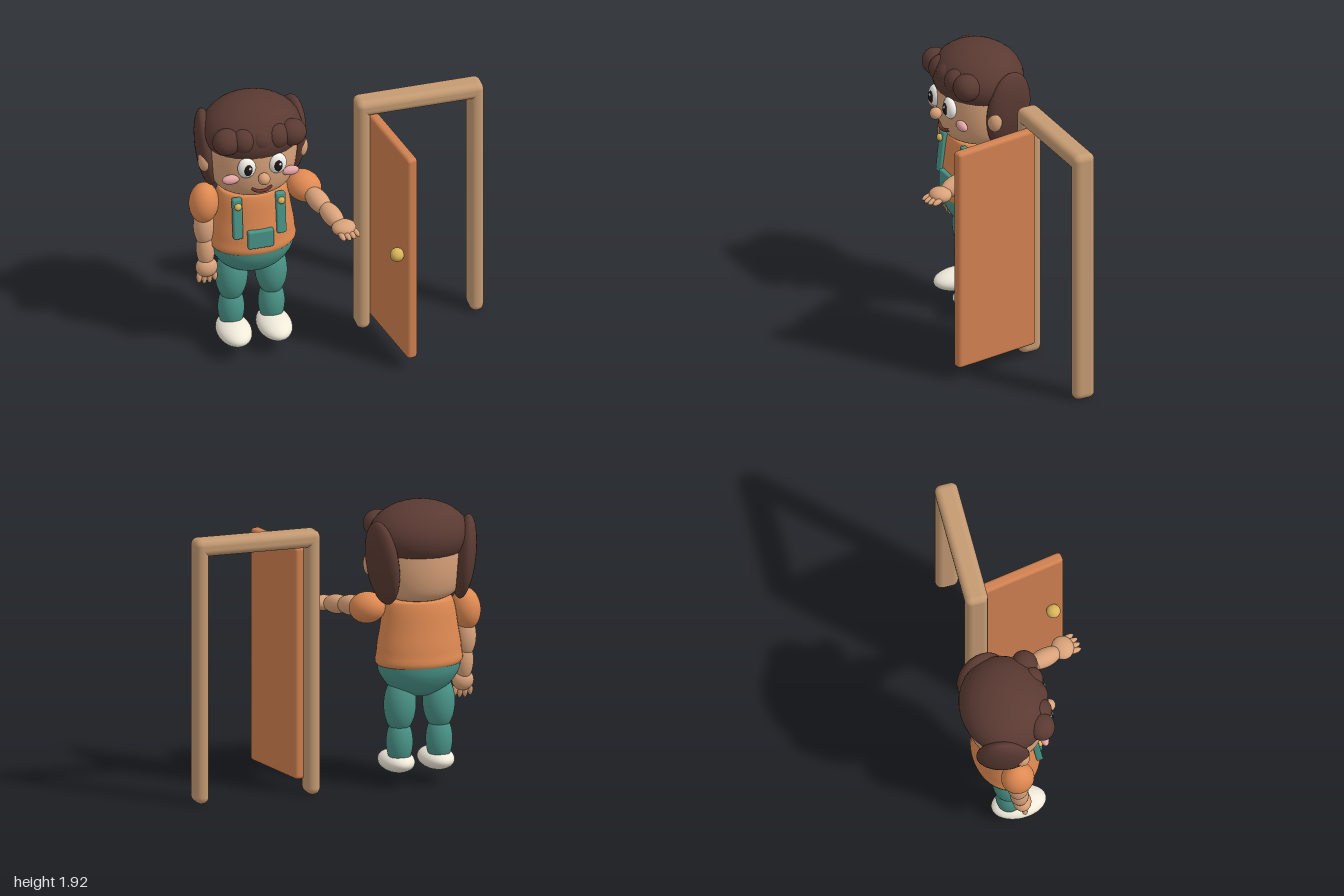
import * as THREE from 'three';
import { RoundedBoxGeometry } from 'three/addons/geometries/RoundedBoxGeometry.js';

const mat = (color) => new THREE.MeshStandardMaterial({ color });
const skin = mat(0xd9a27a), orange = mat(0xe08a52), teal = mat(0x4a9488), hair = mat(0x5a3a32),
  cream = mat(0xf0eada), wood = mat(0xc49a72), panel = mat(0xd08050), gold = mat(0xd9b45a),
  pink = mat(0xe5a5a5), white = mat(0xf4f1ea), black = mat(0x1c1716), lip = mat(0x6a352a);
const V = (x, y, z) => new THREE.Vector3(x, y, z);

function add(parent, name, geometry, material, x = 0, y = 0, z = 0) {
  const m = new THREE.Mesh(geometry, material);
  m.name = name;
  m.position.set(x, y, z);
  parent.add(m);
  return m;
}

function ball(parent, name, material, p, r) {
  const m = add(parent, name, new THREE.SphereGeometry(1, 32, 24), material, ...p);
  m.scale.set(...r);
  return m;
}

// Ellipsoid stretched from point a to point b
function limb(parent, name, material, a, b, r, rz = r) {
  const dir = b.clone().sub(a);
  const m = ball(parent, name, material, a.clone().add(b).multiplyScalar(0.5), [r, dir.length() / 2, rz]);
  m.quaternion.setFromUnitVectors(V(0, 1, 0), dir.normalize());
  return m;
}

// Smooth oval body of revolution, squashed in depth
function oval(parent, name, material, points, depth, z) {
  const curve = new THREE.SplineCurve(points.map(([x, y]) => new THREE.Vector2(x, y)));
  const profile = curve.getPoints(32).map((p) => new THREE.Vector2(Math.max(p.x, 0), p.y));
  const m = add(parent, name, new THREE.LatheGeometry(profile, 48), material, 0, 0, z);
  m.scale.z = depth;
  return m;
}

function box(parent, name, material, size, p, r) {
  return add(parent, name, new RoundedBoxGeometry(...size, 4, r), material, ...p);
}

function buildHead(g) {
  oval(g, 'head', skin, [[0, 1.255], [0.14, 1.263], [0.24, 1.305], [0.285, 1.4], [0.302, 1.55],
    [0.285, 1.7], [0.18, 1.84], [0, 1.88]], 0.88, -0.17);
  ball(g, 'nose', skin, [0, 1.48, 0.13], [0.041, 0.041, 0.041]);
  const smile = new THREE.CatmullRomCurve3([V(-0.068, 1.375, 0.065), V(-0.035, 1.36, 0.08),
    V(0, 1.357, 0.085), V(0.035, 1.36, 0.08), V(0.068, 1.375, 0.065)]);
  add(g, 'mouth', new THREE.TubeGeometry(smile, 24, 0.011, 10), lip);
  for (const s of [-1, 1]) {
    ball(g, 'eyeWhite', white, [s * 0.105, 1.555, 0.08], [0.062, 0.076, 0.04]);
    ball(g, 'pupil', black, [s * 0.103, 1.553, 0.112], [0.028, 0.042, 0.017]);
    ball(g, 'eyeGlint', white, [s * 0.103 + 0.008, 1.573, 0.127], [0.009, 0.011, 0.005]);
    ball(g, 'cheek', pink, [s * 0.203, 1.455, 0.042], [0.06, 0.033, 0.03]);
    ball(g, 'ear', skin, [s * 0.325, 1.51, -0.14], [0.05, 0.08, 0.05]);
    // Side hair leans inward toward the bottom and the back
    const lock = ball(g, 'sideHair', hair, [s * 0.285, 1.54, -0.26], [0.075, 0.285, 0.175]);
    lock.rotation.set(0, s * 0.22, s * 0.0 - s * 0.12);
  }
  ball(g, 'hairCap', hair, [0, 1.7, -0.18], [0.335, 0.225, 0.295]);
  // Fringe of round curls across the forehead
  for (let i = -2; i <= 2; i++) {
    const r = Math.abs(i) === 2 ? 0.095 : 0.088;
    ball(g, 'fringeCurl', hair, [i * 0.112, 1.74, 0.03 - 0.003 * i * i], [r, 0.092, 0.088]);
  }
}

function buildBody(g) {
  oval(g, 'shirt', orange, [[0, 1.275], [0.19, 1.27], [0.236, 1.235], [0.265, 1.07], [0.287, 0.92],
    [0.27, 0.82], [0, 0.8]].reverse(), 0.76, -0.17);
  oval(g, 'trousers', teal, [[0, 0.595], [0.1, 0.617], [0.2, 0.675], [0.265, 0.76], [0.284, 0.84],
    [0.28, 0.895], [0.22, 0.905], [0, 0.905]], 0.77, -0.17);
  box(g, 'pocket', teal, [0.175, 0.135, 0.045], [0, 0.955, 0.042], 0.012);
  for (const s of [-1, 1]) {
    const strap = box(g, 'strap', teal, [0.065, 0.3, 0.045], [s * 0.148, 1.115, 0.006], 0.012);
    strap.rotation.x = -0.1;
    ball(g, 'strapButton', gold, [s * 0.148, 1.215, 0.025], [0.025, 0.025, 0.02]);
    limb(g, 'thigh', teal, V(s * 0.13, 0.75, -0.18), V(s * 0.14, 0.36, -0.18), 0.108);
    limb(g, 'shin', teal, V(s * 0.138, 0.47, -0.18), V(s * 0.138, 0.13, -0.18), 0.089);
    ball(g, 'shoe', cream, [s * 0.138, 0.157, -0.115], [0.115, 0.073, 0.185]);
  }
}

// Palm with four fingers fanned along "side" and reaching along "dir"
function buildHand(g, name, palm, dir, side, radii) {
  const hand = new THREE.Group();
  hand.name = name;
  g.add(hand);
  ball(hand, 'palm', skin, palm, radii);
  for (let i = 0; i < 4; i++) {
    const t = i - 1.5;
    const start = palm.clone().addScaledVector(side, t * 0.033).addScaledVector(dir, 0.02);
    const end = palm.clone().addScaledVector(side, t * 0.037).addScaledVector(dir, 0.125 - 0.006 * t * t);
    limb(hand, 'finger', skin, start, end, 0.019);
  }
}

function buildArms(g) {
  // Right arm hangs down
  limb(g, 'rightSleeve', orange, V(-0.315, 1.305, -0.17), V(-0.34, 1.02, -0.17), 0.098, 0.11);
  limb(g, 'rightUpperArm', skin, V(-0.33, 1.12, -0.17), V(-0.325, 0.83, -0.165), 0.07);
  limb(g, 'rightForearm', skin, V(-0.322, 0.94, -0.165), V(-0.318, 0.67, -0.15), 0.062);
  buildHand(g, 'rightHand', V(-0.317, 0.672, -0.14), V(0, -0.99, 0.1), V(1, 0, 0), [0.074, 0.07, 0.062]);
  // Left arm reaches forward to the door
  limb(g, 'leftSleeve', orange, V(0.27, 1.235, -0.22), V(0.41, 1.185, -0.01), 0.105);
  limb(g, 'leftUpperArm', skin, V(0.355, 1.21, -0.07), V(0.425, 1.17, 0.18), 0.068);
  limb(g, 'leftForearm', skin, V(0.405, 1.185, 0.09), V(0.47, 1.145, 0.33), 0.064);
  buildHand(g, 'leftHand', V(0.483, 1.145, 0.345), V(0.24, -0.2, 0.95), V(0.97, 0, -0.24), [0.082, 0.05, 0.075]);
}

function buildDoorway(g) {
  for (const x of [0.178, 0.952]) box(g, 'framePost', wood, [0.096, 1.79, 0.155], [x, 0.895, -0.172], 0.046);
  box(g, 'frameLintel', wood, [0.87, 0.115, 0.155], [0.565, 1.732, -0.172], 0.046);
  // Door leaf standing open
  const door = box(g, 'door', panel, [0.073, 1.575, 0.632], [0.3, 0.883, 0.143], 0.025);
  door.rotation.y = 0.163;
  ball(g, 'doorKnob', gold, [0.265, 0.885, 0.375], [0.047, 0.047, 0.047]);
}

export function createModel() {
  const model = new THREE.Group();
  const figure = new THREE.Group();
  figure.name = 'figure';
  figure.position.x = -0.573;
  buildHead(figure);
  buildBody(figure);
  buildArms(figure);
  const doorway = new THREE.Group();
  doorway.name = 'doorway';
  buildDoorway(doorway);
  model.add(figure, doorway);
  return model;
}
